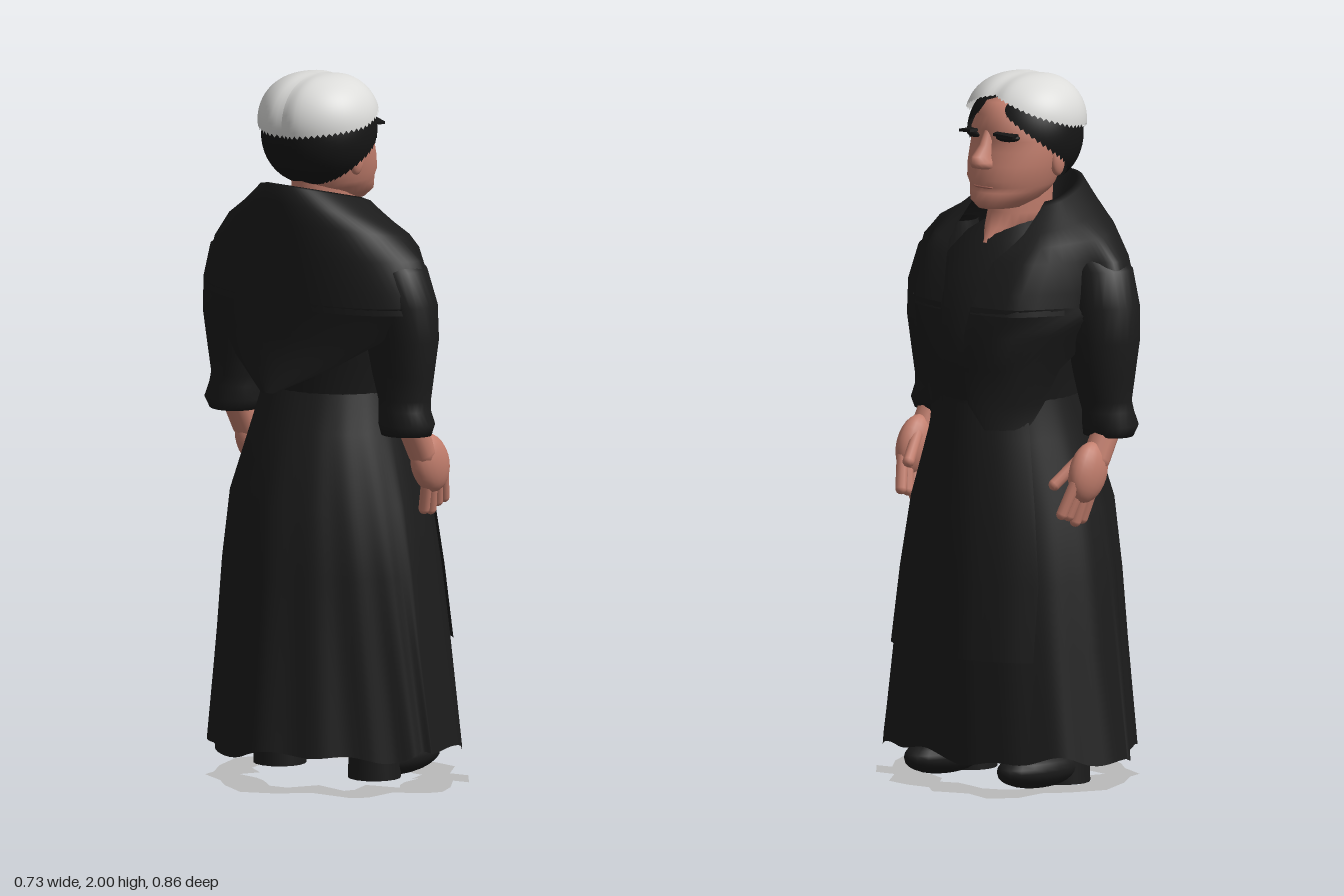
import * as THREE from 'three';

const mat = (name, color) => {
  const m = new THREE.MeshStandardMaterial({ color, side: THREE.DoubleSide });
  m.name = name;
  return m;
};

// Loft of half-ellipse rings. Row: [y, xBack, xFront, halfWidth, startDeg, endDeg]
// Angle 0 points to +x (the way the figure faces), 90 to +z.
function loft(rows, n = 40, bend = null) {
  const closed = rows[0].length < 5;
  const cols = closed ? n : n + 1;
  const pos = [], idx = [];
  for (const [y, xb, xf, hz, s = 0, e = 360] of rows) {
    const cx = closed ? (xb + xf) / 2 : 0;
    for (let j = 0; j < cols; j++) {
      const a = THREE.MathUtils.degToRad(s + (e - s) * j / n);
      const c = Math.cos(a);
      const p = new THREE.Vector3(cx + c * (c > 0 ? xf - cx : cx - xb), y, hz * Math.sin(a));
      if (bend) bend(p, a);
      pos.push(p.x, p.y, p.z);
    }
  }
  for (let i = 0; i < rows.length - 1; i++) {
    for (let j = 0; j < n; j++) {
      const a = i * cols + j, b = i * cols + (j + 1) % cols;
      idx.push(a, b, a + cols, b, b + cols, a + cols);
    }
  }
  const g = new THREE.BufferGeometry();
  g.setAttribute('position', new THREE.Float32BufferAttribute(pos, 3));
  g.setIndex(idx);
  g.computeVertexNormals();
  return g;
}

// Full-cheeked dome whose rim angle (degrees from the top) follows [azimuth, rim] stops, front to back
function hood(radii, stops, cleft) {
  const g = new THREE.SphereGeometry(1, 64, 24);
  const p = g.attributes.position, uv = g.attributes.uv;
  for (let i = 0; i < p.count; i++) {
    const az = uv.getX(i) * 360 - 180, k = Math.abs(az);
    let q = 0;
    while (q < stops.length - 2 && k > stops[q + 1][0]) q++;
    const [a0, r0] = stops[q], [a1, r1] = stops[q + 1];
    const rim = r0 + (r1 - r0) * (k - a0) / (a1 - a0);
    const t = THREE.MathUtils.degToRad(rim * (1 - uv.getY(i)));
    const a = THREE.MathUtils.degToRad(az);
    const s = Math.pow(Math.max(Math.sin(t), 0), 0.78);
    const z = s * Math.sin(a);
    const f = 1 - cleft * Math.exp(-((z / 0.15) ** 2)) * (0.25 + 0.75 * s);
    p.setXYZ(i, radii[0] * s * Math.cos(a) * f, radii[1] * Math.cos(t) * f, radii[2] * z);
  }
  g.computeVertexNormals();
  return g;
}

export function createModel() {
  const root = new THREE.Group();
  root.name = 'oldWoman';
  const figure = new THREE.Group();
  figure.name = 'figure';
  figure.position.z = -0.014;
  root.add(figure);
  const cloth = mat('black cloth', 0x1b1b1b);
  const hairMat = mat('dark hair', 0x151515);
  const skin = mat('skin', 0xc27e6d);
  const lipMat = mat('lips', 0xa8675a);
  const white = mat('white cap', 0xdcdcda);
  const grey = mat('grey ground', 0xbababa);

  const add = (name, geo, m, parent = figure) => {
    const mesh = new THREE.Mesh(geo, m);
    mesh.name = name;
    parent.add(mesh);
    return mesh;
  };
  const ball = (name, m, parent, [x, y, z], [sx, sy, sz]) => {
    const b = add(name, new THREE.SphereGeometry(1, 20, 14), m, parent);
    b.position.set(x, y, z);
    b.scale.set(sx, sy, sz);
    return b;
  };
  const limb = (name, m, parent, from, to, r) => {
    const a = new THREE.Vector3(...from), d = new THREE.Vector3(...to).sub(a);
    const c = add(name, new THREE.CapsuleGeometry(r, d.length(), 4, 10), m, parent);
    c.position.copy(a).addScaledVector(d, 0.5);
    c.quaternion.setFromUnitVectors(new THREE.Vector3(0, 1, 0), d.normalize());
  };

  // Pleated skirt, open below with an uneven hem, broad in front and narrowing to the middle of the back
  const pleat = (p, a) => {
    const low = THREE.MathUtils.clamp((1.05 - p.y) / 0.9, 0, 1);
    const c = Math.cos(a);
    if (c < 0) p.x *= 1 - low * (1 - Math.pow(-c, 1.1));
    else p.x *= 1 + low * (Math.pow(Math.max(c, 0.05), -0.25) - 1);
    const f = 1 + 0.025 * low * (0.6 - 0.4 * c) * Math.sin(a * 17 + Math.sin(a * 3));
    p.x *= f;
    p.z *= f;
    if (p.y < 0.15) p.y += 0.012 * Math.sin(a * 5) + 0.008 * Math.sin(a * 11);
  };
  add('skirt', loft([[1.14, -0.13, 0.25, 0.2], [1, -0.185, 0.27, 0.23], [0.8, -0.25, 0.295, 0.295],
    [0.6, -0.275, 0.31, 0.33], [0.4, -0.295, 0.322, 0.357], [0.1, -0.33, 0.335, 0.4]], 136, pleat), cloth);
  add('apron', loft([[1.1, -0.15, 0.272, 0.22, -52, 52], [1, -0.19, 0.285, 0.24, -52, 52],
    [0.8, -0.25, 0.31, 0.305, -50, 50], [0.6, -0.27, 0.325, 0.34, -50, 50],
    [0.385, -0.3, 0.341, 0.365, -47, 47]], 40, pleat), cloth);

  // Dress bodice
  add('bodice', loft([[1.6, -0.1, 0.09, 0.08], [1.55, -0.15, 0.15, 0.16], [1.45, -0.17, 0.215, 0.25],
    [1.3, -0.17, 0.27, 0.255], [1.2, -0.15, 0.265, 0.225], [1.1, -0.14, 0.255, 0.205]]), cloth);

  // Shawl: sloping collar and shoulders, two front ends and a pointed back
  const drape = p => {
    if (p.x > 0) p.x *= 1 - 0.6 * THREE.MathUtils.smoothstep(Math.abs(p.z), 0.18, 0.33);
    p.y -= 0.25 * (p.x + 0.19) * THREE.MathUtils.clamp((p.y - 1.5) / 0.15, 0, 1);
  };
  add('shawl', loft([[1.62, -0.16, 0.09, 0.09, 55, 305], [1.71, -0.18, 0.07, 0.13, 62, 298],
    [1.705, -0.195, 0.1, 0.155, 55, 305], [1.655, -0.2, 0.16, 0.225, 34, 326],
    [1.6, -0.2, 0.195, 0.3, 22, 338], [1.51, -0.2, 0.225, 0.36, 14, 346],
    [1.42, -0.2, 0.262, 0.39, 9, 351], [1.36, -0.2, 0.284, 0.4, 8, 352]], 64, drape), cloth);
  for (const s of [1, -1]) {
    add('shawlFront', loft([[1.38, -0.2, 0.28, 0.4, s * 8, s * 80], [1.3, -0.2, 0.293, 0.345, s * 7, s * 66],
      [1.2, -0.18, 0.288, 0.27, s * 8, s * 62], [1.1, -0.17, 0.284, 0.225, s * 12, s * 62],
      [1.03, -0.17, 0.286, 0.23, s * 24, s * 52]], 16, drape), cloth);
  }
  add('shawlBack', loft([[1.38, -0.2, 0.2, 0.4, 100, 260], [1.28, -0.2, 0.2, 0.34, 118, 242],
    [1.2, -0.215, 0.2, 0.28, 140, 220], [1.12, -0.24, 0.2, 0.22, 174, 186]], 24), cloth);

  // Sleeves, hands and shoes, mirrored
  const centre = [[1.56, 0.23], [1.48, 0.275], [1.38, 0.295], [1.28, 0.3], [1.18, 0.305], [1.09, 0.315], [0.9, 0.328]];
  for (const s of [1, -1]) {
    const arm = new THREE.Group();
    arm.name = s > 0 ? 'leftArm' : 'rightArm';
    figure.add(arm);
    const shift = (p, a) => {
      let q = 0;
      while (q < centre.length - 2 && p.y < centre[q + 1][0]) q++;
      const [y0, z0] = centre[q], [y1, z1] = centre[q + 1];
      p.z = s * (p.z + z0 + (z1 - z0) * (p.y - y0) / (y1 - y0));
      p.x += 0.005 * Math.sin(p.y * 60 + a * 2);
    };
    add('sleeve', loft([[1.56, -0.06, 0.05, 0.04], [1.48, -0.1, 0.07, 0.1], [1.38, -0.1, 0.085, 0.112],
      [1.28, -0.095, 0.085, 0.112], [1.18, -0.085, 0.075, 0.092], [1.11, -0.075, 0.062, 0.078],
      [1.08, -0.08, 0.06, 0.075], [1.04, -0.085, 0.06, 0.085], [1.01, -0.075, 0.055, 0.075],
      [1.02, -0.02, 0.02, 0.02]], 28, shift), cloth);
    const z = s * 0.325;
    limb('wrist', skin, arm, [0, 1.04, z], [0.05, 0.95, z], 0.04);
    const palm = ball('palm', skin, arm, [0.085, 0.915, z], [0.066, 0.088, 0.042]);
    palm.rotation.z = 0.4;
    for (let i = 0; i < 4; i++) {
      const k = i / 3;
      limb('finger', skin, arm, [0.07 + 0.07 * k, 0.86 + 0.03 * k, z],
        [0.085 + 0.085 * k, 0.782 + 0.022 * k + (i === 1 ? -0.012 : 0), z - s * 0.022], 0.0165);
    }
    limb('thumb', skin, arm, [0.1, 0.95, z - s * 0.02], [0.17, 0.885, z - s * 0.05], 0.017);

    // Shoe
    ball('shoe', cloth, figure, [0.12, 0.06, s * 0.175], [0.16, 0.055, 0.078]);
    const heel = add('shoeHeel', new THREE.CylinderGeometry(0.07, 0.075, 0.13, 16), cloth);
    heel.position.set(0.02, 0.075, s * 0.175);
  }

  // Head and neck
  const head = new THREE.Group();
  head.name = 'head';
  figure.add(head);
  add('neck', loft([[1.72, -0.09, 0.09, 0.085], [1.62, -0.09, 0.105, 0.085], [1.58, -0.1, 0.13, 0.075],
    [1.54, -0.1, 0.16, 0.03]], 24), skin, head);
  add('face', loft([[1.632, 0.02, 0.11, 0.02], [1.638, -0.01, 0.165, 0.058], [1.66, -0.05, 0.181, 0.088],
    [1.685, -0.08, 0.172, 0.106], [1.7, -0.09, 0.168, 0.113], [1.72, -0.1, 0.176, 0.12],
    [1.76, -0.11, 0.165, 0.131], [1.8, -0.12, 0.154, 0.133], [1.83, -0.12, 0.146, 0.132],
    [1.86, -0.12, 0.152, 0.126], [1.9, -0.12, 0.142, 0.106], [1.935, -0.1, 0.122, 0.07],
    [1.955, -0.01, 0.06, 0.02]], 32), skin, head);
  add('nose', loft([[1.86, 0.11, 0.152, 0.014], [1.82, 0.11, 0.172, 0.018], [1.79, 0.11, 0.205, 0.023],
    [1.772, 0.11, 0.212, 0.031], [1.757, 0.11, 0.198, 0.034], [1.748, 0.12, 0.16, 0.02]], 18), skin, head);
  ball('mouth', lipMat, head, [0.162, 1.7, 0], [0.008, 0.005, 0.036]);
  for (const s of [1, -1]) {
    ball('ear', skin, head, [-0.005, 1.765, s * 0.13], [0.024, 0.04, 0.016]);
    const eye = ball('eye', hairMat, head, [0.128, 1.842, s * 0.062], [0.018, 0.012, 0.036]);
    eye.rotation.y = s * -0.35;
    const brow = add('brow', new THREE.BoxGeometry(0.04, 0.008, 0.06), hairMat, head);
    brow.position.set(0.142, 1.852, s * 0.066);
    brow.rotation.set(s * 0.12, s * -0.3, 0);
  }
  // Parted hair showing below the cap
  const hair = add('hair', hood([0.162, 0.146, 0.165],
    [[0, 48], [25, 67], [50, 88], [70, 105], [90, 120], [115, 145], [150, 168], [180, 172]], 0.06), hairMat, head);
  hair.position.set(-0.014, 1.832, 0);
  const cap = add('cap', hood([0.172, 0.134, 0.172],
    [[0, 49], [25, 62], [50, 76], [70, 85], [90, 93], [180, 106]], 0.07), white, head);
  cap.position.set(-0.016, 1.87, 0);

  // Ragged flat ring on the ground
  const rim = [[-0.37, 0], [-0.33, 0.08], [-0.25, 0.17], [-0.24, 0.3], [-0.2, 0.33], [-0.1, 0.33], [-0.04, 0.41],
    [0, 0.43], [0.07, 0.4], [0.15, 0.34], [0.16, 0.39], [0.24, 0.32], [0.23, 0.26], [0.32, 0.2], [0.33, 0.12],
    [0.32, 0.05], [0.36, 0], [0.32, -0.1], [0.345, -0.19], [0.28, -0.25], [0.18, -0.25], [0.12, -0.3], [0.02, -0.35],
    [-0.1, -0.31], [-0.18, -0.26], [-0.23, -0.25], [-0.27, -0.16], [-0.32, -0.1]].map(p => new THREE.Vector2(...p));
  const ring = new THREE.Shape(rim);
  ring.holes.push(new THREE.Path(rim.map((p, i) => p.clone().multiplyScalar(0.66 + 0.07 * Math.sin(i * 2.3)))));
  const ground = add('groundPatch', new THREE.ShapeGeometry(ring).rotateX(Math.PI / 2), grey, root);
  ground.position.y = 0.002;
  return root;
}
